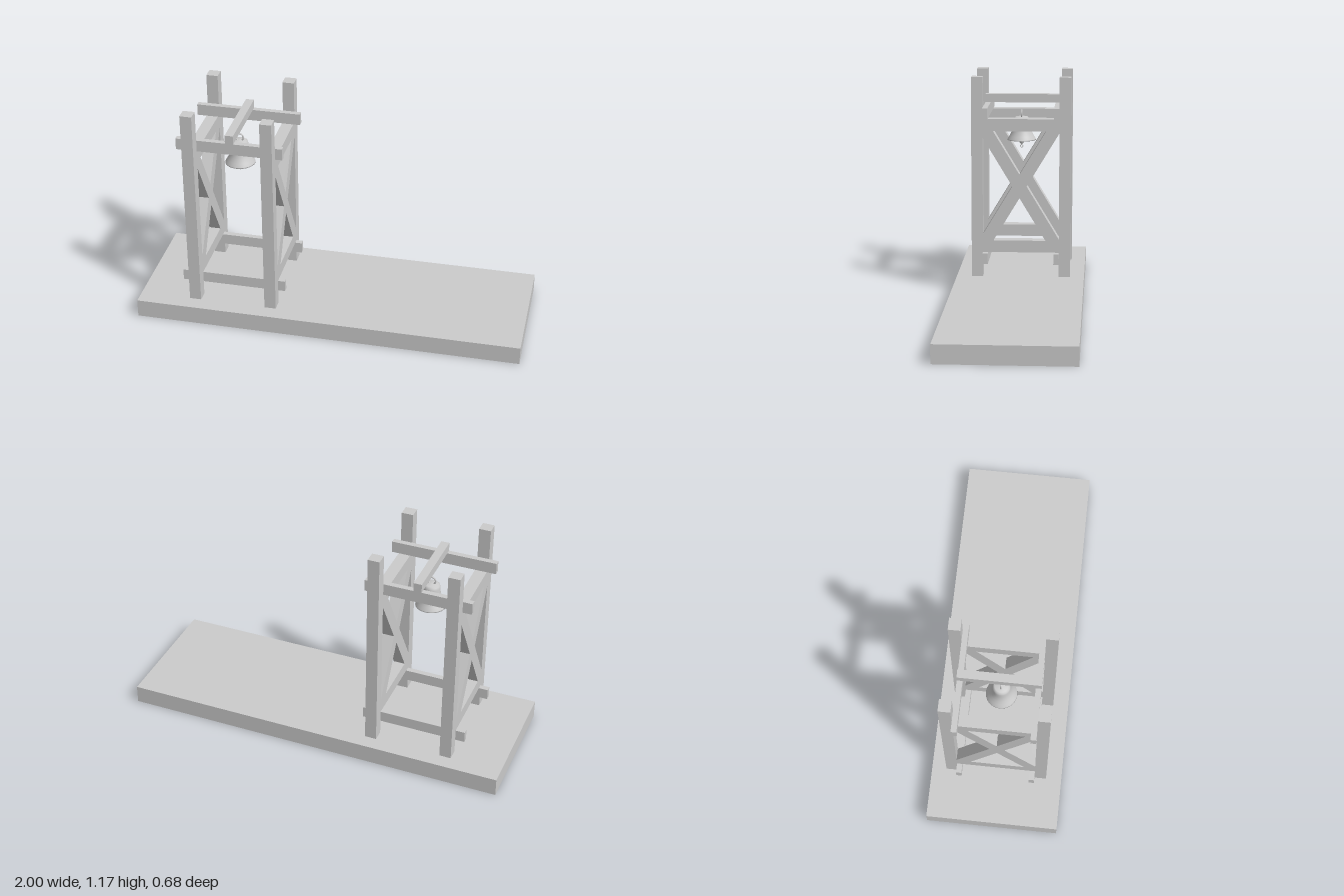
import * as THREE from 'three';

export function createModel() {
  const model = new THREE.Group();
  const wood = new THREE.MeshStandardMaterial({ color: 0xcccccc });
  const metal = new THREE.MeshStandardMaterial({ color: 0xcccccc, side: THREE.DoubleSide });

  const add = (name, geometry, material, parent = model) => {
    const mesh = new THREE.Mesh(geometry, material);
    mesh.name = name;
    parent.add(mesh);
    return mesh;
  };
  // Box given by its limits on each axis
  const beam = (name, [x0, x1], [y0, y1], [z0, z1]) =>
    add(name, new THREE.BoxGeometry(x1 - x0, y1 - y0, z1 - z0), wood)
      .position.set((x0 + x1) / 2, (y0 + y1) / 2, (z0 + z1) / 2);

  beam('base', [-1, 1], [0, 0.095], [-0.34, 0.34]);

  // Two braced side frames: posts, rails and crossed diagonals
  const half = 0.03, midY = 0.585, midZ = 0.005, slope = 1.66, barHalf = 0.038;
  for (const x of [-0.707, -0.306]) {
    const xs = [x - half, x + half];
    beam('postFront', xs, [0.095, 1.165], [0.2, 0.26]);
    beam('postBack', xs, [0.095, 1.165], [-0.265, -0.205]);
    beam('railTop', xs, [0.88, 0.945], [-0.205, 0.2]);
    beam('railBottom', xs, [0.228, 0.292], [-0.205, 0.2]);
    for (const s of [-1, 1]) {
      const h = 0.296, run = s * h / slope;
      const shape = new THREE.Shape([
        new THREE.Vector2(-run - barHalf, -h),
        new THREE.Vector2(-run + barHalf, -h),
        new THREE.Vector2(run + barHalf, h),
        new THREE.Vector2(run - barHalf, h),
      ]);
      const geo = new THREE.ExtrudeGeometry(shape, { depth: 2 * half, bevelEnabled: false });
      geo.translate(0, 0, -half).rotateY(Math.PI / 2);
      add('diagonalBrace', geo, wood).position.set(x, midY, midZ);
    }
  }

  // Long beams tying the frames together, inside the posts
  for (const ys of [[0.945, 1.005], [0.17, 0.228]]) {
    beam('tieBeamFront', [-0.785, -0.24], ys, [0.172, 0.2]);
    beam('tieBeamBack', [-0.785, -0.24], ys, [-0.205, -0.177]);
  }
  beam('hangerBeam', [-0.53, -0.488], [1.005, 1.05], [-0.205, 0.2]);

  // Bell: flared shell with an inner wall
  const bell = new THREE.Group();
  bell.name = 'bell';
  bell.position.set(-0.51, 0, 0.006);
  model.add(bell);
  const outer = [[0.077, 0.8], [0.076, 0.805], [0.066, 0.822], [0.056, 0.842], [0.049, 0.862],
    [0.045, 0.885], [0.044, 0.905], [0.041, 0.918], [0.033, 0.925], [0, 0.928]];
  const inner = [[0, 0.915], [0.034, 0.91], [0.038, 0.885], [0.043, 0.86], [0.057, 0.828], [0.072, 0.8]];
  const profile = [...inner, ...outer].map(([r, y]) => new THREE.Vector2(r, y));
  add('bellShell', new THREE.LatheGeometry(profile, 40), metal, bell);

  // Crown loop
  add('crownLoop', new THREE.TorusGeometry(0.02, 0.004, 8, 28), metal, bell).position.y = 0.941;

  // Clapper with ball and pull ring
  add('clapperRod', new THREE.CylinderGeometry(0.004, 0.004, 0.14, 10), metal, bell).position.y = 0.845;
  add('clapperBall', new THREE.SphereGeometry(0.0125, 20, 14), metal, bell).position.y = 0.79;
  add('clapperStem', new THREE.CylinderGeometry(0.003, 0.003, 0.014, 8), metal, bell).position.y = 0.777;
  const ring = add('pullRing', new THREE.TorusGeometry(0.007, 0.0025, 8, 20), metal, bell);
  ring.position.y = 0.765;
  ring.rotation.y = Math.PI / 2;

  return model;
}
